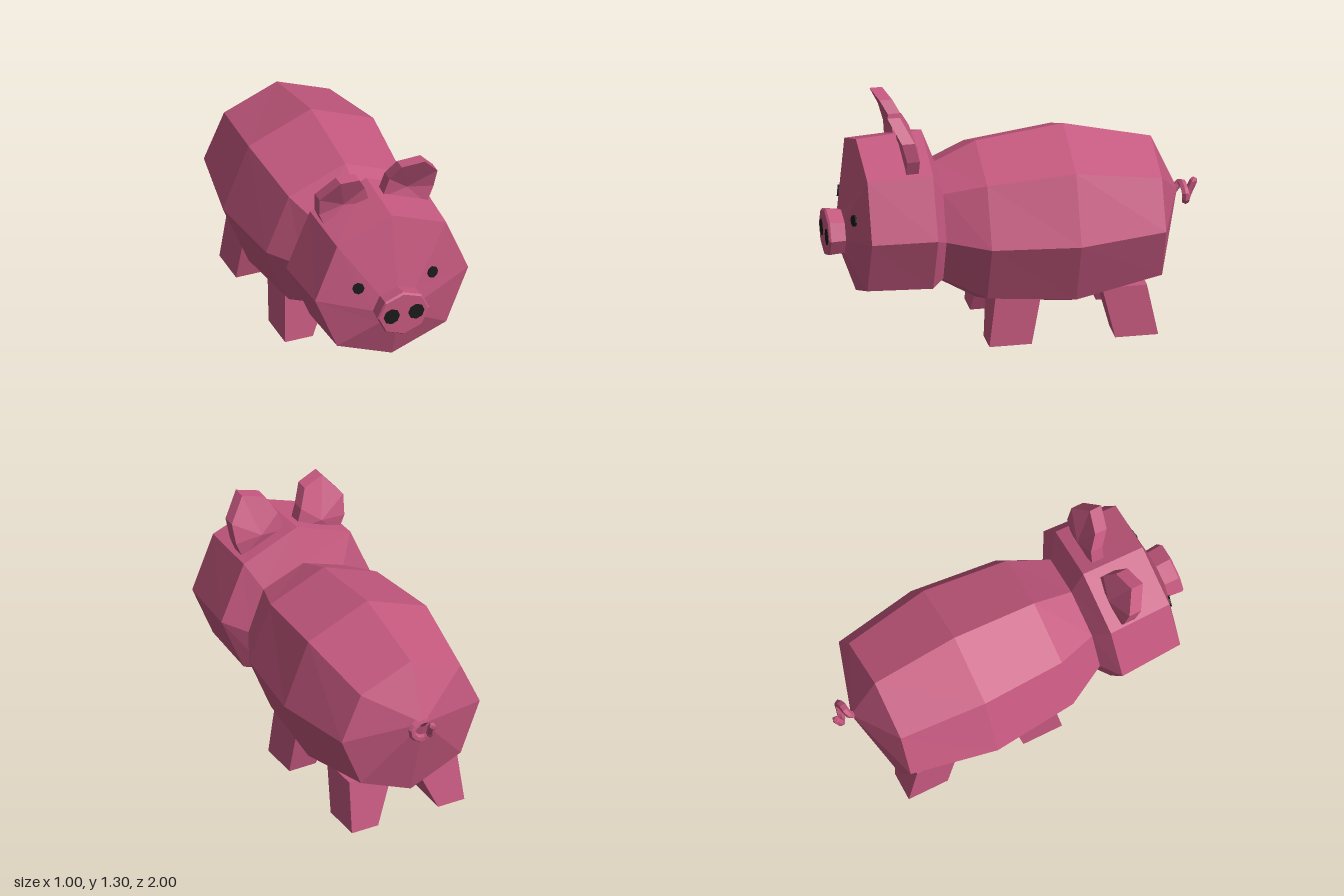
import * as THREE from 'three';
import { ConvexGeometry } from 'three/addons/geometries/ConvexGeometry.js';

const pink = new THREE.MeshStandardMaterial({ color: 0xc4587e, flatShading: true });
const black = new THREE.MeshStandardMaterial({ color: 0x1a1a1a, flatShading: true });

function addMesh(parent, name, geometry, material = pink) {
  const mesh = new THREE.Mesh(geometry, material);
  mesh.name = name;
  parent.add(mesh);
  return mesh;
}

// Flat-shaded geometry from a list of triangle corner points
function fromTriangles(points) {
  const g = new THREE.BufferGeometry().setFromPoints(points);
  g.computeVertexNormals();
  return g;
}

// Eight-sided ring: z, half width, bottom, middle, top, then the diagonal corners (x, low y, high y)
function ring([z, w, bottom, mid, top, dx, low, high]) {
  return [[w, mid], [dx, high], [0, top], [-dx, high], [-w, mid], [-dx, low], [0, bottom], [dx, low]]
    .map(([x, y]) => new THREE.Vector3(x, y, z));
}

// Skin between rings running towards +z
function loft(rows) {
  const rings = rows.map(ring), tris = [];
  for (let i = 0; i < rings.length - 1; i++) {
    for (let j = 0; j < 8; j++) {
      const k = (j + 1) % 8;
      const a = rings[i][j], b = rings[i][k], c = rings[i + 1][k], d = rings[i + 1][j];
      if (!a.equals(b)) tris.push(a, b, c);
      if (!c.equals(d)) tris.push(a, c, d);
    }
  }
  return fromTriangles(tris);
}

// Cupped ear: a front outline fanned round a sunken centre, with a matching back
function earGeometry(side) {
  const outline = [
    [0.285, 0.98, 0.62], [0.325, 1.08, 0.62], [0.335, 1.19, 0.65], [0.24, 1.305, 0.71],
    [0.12, 1.28, 0.68], [0.07, 1.19, 0.63], [0.035, 1.08, 0.62],
  ];
  const drop = side < 0 ? 0.022 : 0;
  const place = ([x, y, z]) => new THREE.Vector3(side * x, y - drop, z);
  const front = outline.map(place);
  if (side < 0) front.reverse();
  const depth = new THREE.Vector3(0, 0, -0.068);
  const back = front.map((p) => p.clone().add(depth));
  const hub = place([0.18, 1.1, 0.605]), backHub = hub.clone().add(depth);
  const tris = [];
  front.forEach((a, i) => {
    const j = (i + 1) % front.length;
    const b = front[j], c = back[j], d = back[i];
    tris.push(hub, a, b, backHub, c, d, a, d, c, a, c, b);
  });
  return fromTriangles(tris);
}

// Tapered leg: a foot rectangle on the ground and a wider top buried in the belly
function legGeometry(side, footZ, topZ) {
  const pts = [];
  for (const z of footZ) for (const x of [0.18, 0.338]) pts.push(new THREE.Vector3(side * x, 0, z));
  for (const z of topZ) for (const x of [0.06, 0.322]) pts.push(new THREE.Vector3(side * x, 0.28, z));
  return new ConvexGeometry(pts);
}

export function createModel() {
  const pig = new THREE.Group();
  pig.name = 'pig';

  const neck = [0.41, 0.33, 0.28, 0.61, 0.94, 0.24, 0.37, 0.85];

  addMesh(pig, 'body', loft([
    [-0.89, 0, 0.68, 0.68, 0.68, 0, 0.68, 0.68],
    [-0.75, 0.415, 0.19, 0.61, 0.99, 0.3, 0.32, 0.87],
    [-0.28, 0.5, 0.09, 0.595, 1.1, 0.355, 0.24, 0.955],
    [0.19, 0.45, 0.15, 0.595, 1.04, 0.32, 0.27, 0.91],
    neck,
  ]));

  // Head running forward into the face and snout
  addMesh(pig, 'head', loft([
    neck,
    [0.48, 0.455, 0.22, 0.672, 1.125, 0.32, 0.35, 0.995],
    [0.83, 0.435, 0.24, 0.67, 1.1, 0.31, 0.36, 0.98],
    [0.91, 0.14, 0.463, 0.585, 0.705, 0.1, 0.5, 0.67],
    [0.99, 0.148, 0.455, 0.585, 0.715, 0.104, 0.495, 0.677],
    [1.0, 0.14, 0.463, 0.585, 0.705, 0.1, 0.5, 0.67],
    [1.0, 0, 0.585, 0.585, 0.585, 0, 0.585, 0.585],
  ]));

  for (const side of [1, -1]) {
    const label = side > 0 ? 'left' : 'right';
    addMesh(pig, label + 'Ear', earGeometry(side));
    addMesh(pig, label + 'FrontLeg', legGeometry(side, [-0.045, 0.182], [-0.1, 0.145]));
    addMesh(pig, label + 'BackLeg', legGeometry(side, [-0.722, -0.492], [-0.665, -0.425]));

    // Eyes follow the slope of the face
    const eye = addMesh(pig, label + 'Eye', new THREE.CylinderGeometry(0.032, 0.032, 0.02, 8), black);
    eye.position.set(side * 0.21, 0.725, 0.878);
    eye.rotation.set(Math.PI / 2 - 0.08, 0, -side * 0.24);

    const nostril = addMesh(pig, label + 'Nostril', new THREE.CylinderGeometry(0.046, 0.046, 0.02, 8), black);
    nostril.rotation.x = Math.PI / 2;
    nostril.position.set(side * 0.07, 0.585, 0.992);
  }

  // Curly tail
  const curl = new THREE.CatmullRomCurve3([
    [0, 0.67, -0.87], [0, 0.712, -0.905], [0.055, 0.712, -0.915], [0.09, 0.67, -0.92],
    [0.05, 0.625, -0.925], [0, 0.64, -0.945], [0, 0.715, -0.978],
  ].map((p) => new THREE.Vector3(...p)));
  addMesh(pig, 'tail', new THREE.TubeGeometry(curl, 14, 0.021, 6));
  const tip = addMesh(pig, 'tailTip', new THREE.IcosahedronGeometry(0.022, 0));
  tip.position.set(0, 0.715, -0.978);

  return pig;
}
